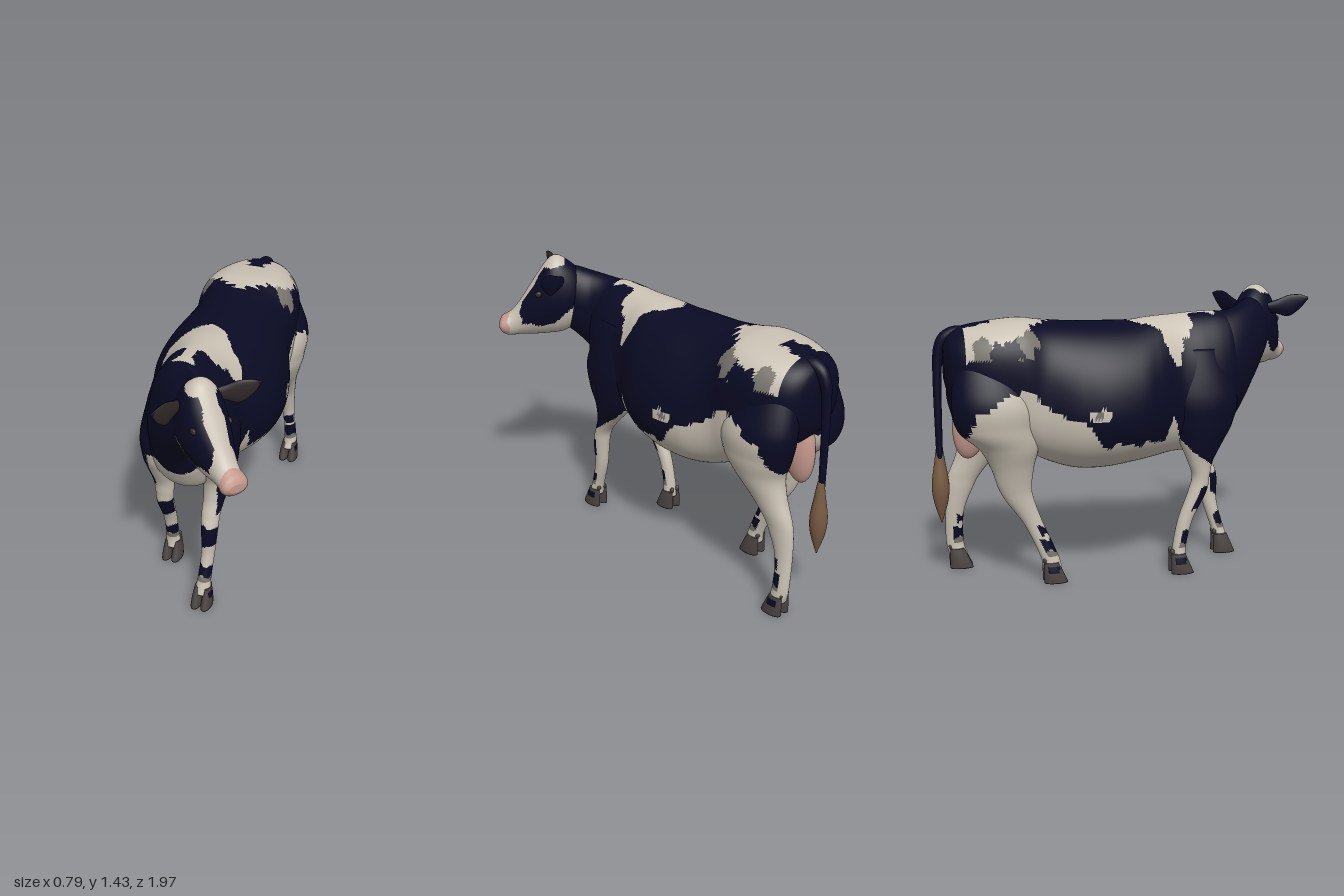
import * as THREE from 'three';

const CX = -0.065; // body's middle plane
const mat = (name, color) => new THREE.MeshStandardMaterial({ name, color });
const PALETTE = [
  mat('navyCoat', 0x0a0a24), mat('creamCoat', 0xc9c1b3), mat('greyCoat', 0x77726b),
  mat('pinkSkin', 0xc4988d), mat('hoof', 0x494341), mat('tailTuft', 0x785a43), mat('earInner', 0x2e2826),
];
const [NAVY, CREAM, GREY, PINK, HOOF, TUFT, EAR] = PALETTE.keys();

// Catmull-Rom interpolation of all columns of a few sections
function smooth(rows, steps) {
  const out = [], m = rows.length - 1;
  for (let i = 0; i <= steps; i++) {
    const f = (i / steps) * m, k = Math.min(Math.floor(f), m - 1), t = f - k;
    const [a, b, c, d] = [-1, 0, 1, 2].map((o) => rows[Math.max(0, Math.min(m, k + o))]);
    out.push(b.map((p, j) => 0.5 * (2 * p + (c[j] - a[j]) * t + (2 * a[j] - 5 * p + 4 * c[j] - d[j]) * t * t
      + (3 * p - a[j] - 3 * c[j] + d[j]) * t * t * t)));
  }
  return out;
}

// Closed skin through sections, each triangle coloured by a rule on its centre
function loft(name, rows, steps, seg, place, colour) {
  const rings = smooth(rows, steps), pos = [], tris = [];
  for (const r of rings)
    for (let j = 0; j < seg; j++) {
      const a = (j / seg) * Math.PI * 2;
      pos.push(place(r, Math.cos(a), Math.sin(a)));
    }
  for (const r of [rings[0], rings[steps]]) {
    const p = place(r, 1, 0), q = place(r, -1, 0);
    pos.push(p.map((v, k) => (v + q[k]) / 2));
  }
  const end = (steps + 1) * seg;
  for (let j = 0; j < seg; j++) {
    const k = (j + 1) % seg;
    for (let i = 0; i < steps; i++) {
      const a = i * seg + j, b = i * seg + k;
      tris.push([a, b, a + seg], [b, b + seg, a + seg]);
    }
    tris.push([end, k, j], [end + 1, steps * seg + j, steps * seg + k]);
  }
  // turn the skin outward if its volume is negative
  let volume = 0;
  for (const [a, b, c] of tris) {
    const [p, q, r] = [a, b, c].map((i) => new THREE.Vector3(...pos[i]));
    volume += p.dot(q.cross(r));
  }
  const bins = PALETTE.map(() => []);
  for (const [a, b, c] of tris) {
    const mid = pos[a].map((v, k) => (v + pos[b][k] + pos[c][k]) / 3);
    bins[typeof colour === 'number' ? colour : colour(...mid)].push(a, ...(volume < 0 ? [c, b] : [b, c]));
  }
  const geo = new THREE.BufferGeometry();
  geo.setAttribute('position', new THREE.Float32BufferAttribute(pos.flat(), 3));
  geo.setIndex(bins.flat());
  let start = 0;
  bins.forEach((bin, i) => {
    if (bin.length) geo.addGroup(start, bin.length, i);
    start += bin.length;
  });
  geo.computeVertexNormals();
  const mesh = new THREE.Mesh(geo, PALETTE);
  mesh.name = name;
  return mesh;
}

function ball(name, colour, at, size, tilt = 0) {
  const mesh = new THREE.Mesh(new THREE.SphereGeometry(1, 28, 18), PALETTE[colour]);
  mesh.name = name;
  mesh.position.set(...at);
  mesh.scale.set(...size);
  mesh.rotation.x = tilt;
  return mesh;
}

const { clamp, lerp, smoothstep } = THREE.MathUtils;
const power = (v, n) => Math.sign(v) * Math.abs(v) ** (2 / n);
function linear(points, t) {
  let i = 1;
  while (i < points.length - 1 && points[i][0] < t) i++;
  const [a, b] = [points[i - 1], points[i]];
  return lerp(a[1], b[1], clamp((t - a[0]) / (b[0] - a[0]), 0, 1));
}

// Height of the edge between dark flank and pale underside, along z
const EDGE = [[-0.95, 0.62], [-0.88, 0.7], [-0.78, 0.9], [-0.58, 1], [-0.43, 0.9], [-0.25, 0.8], [-0.2, 0.72],
  [0.12, 0.71], [0.17, 0.82], [0.22, 0.7], [0.46, 0.5]];

// Coat pattern, the same on both flanks
function coat(x, y, z) {
  const d = Math.abs(x - CX), w = 0.012 * Math.sin(41 * z + 17 * y) + 0.008 * Math.sin(83 * z + 61 * y);
  // withers saddle
  if (z > 0 && z < 0.43 && d < 0.035 + w && y > 1.2) return CREAM;
  if (y > 1.25 ? z > -0.04 + d * 1.1 + w && z < 0.28 + w : y > 1.08 && Math.abs(z - 0.2) < (y - 1.08) * 0.45 + w) return CREAM;
  // rump
  if (y > 1.1 && z < -0.28 && z > -0.83) {
    const grey = Math.min(Math.hypot(d - 0.23, z + 0.76), Math.hypot(d - 0.22, z + 0.54)) < 0.045 + w;
    const limit = z < -0.52 ? 0.235 : z < -0.45 ? 0.12 : 0.045;
    const notch = z < -0.7 && d < 0.05 + w;
    if (y > 1.28 + (z + 0.48) * 0.42 + w && d < limit + w && !notch) return grey ? GREY : CREAM;
    if (grey && y > 1.14) return GREY;
  }
  // flank spot
  const spot = Math.hypot((z + 0.22) / 0.055, (y - 0.87) / 0.032);
  if (spot < 1 + 8 * w) return spot < 0.5 ? GREY : CREAM;
  // chest, inner legs and underside
  if (z > 0.38 && d < 0.17 && y < 0.75 + 0.09 * Math.min(1, d / 0.11) + w) return CREAM;
  if (y < 0.85 && d < 0.1 && z < -0.4) return CREAM;
  if (y < 0.76 && d < 0.135 + w && z > 0.1) return CREAM;
  return y < linear(EDGE, z) + w ? CREAM : NAVY;
}

// Leg sections: height, distance from middle, front z, back z, half width
const FRONT = [[1.15, 0.11, 0.44, 0.22, 0.07], [0.92, 0.14, 0.52, 0.16, 0.095], [0.78, 0.145, 0.5, 0.19, 0.09],
  [0.68, 0.145, 0.46, 0.235, 0.075], [0.58, 0.14, 0.46, 0.33, 0.055], [0.5, 0.135, 0.485, 0.395, 0.047],
  [0.42, 0.135, 0.51, 0.415, 0.042], [0.28, 0.13, 0.512, 0.435, 0.034], [0.14, 0.123, 0.55, 0.48, 0.034], [0.07, 0.12, 0.575, 0.495, 0.044]];
const HIND = [[1.2, 0.1, -0.6, -0.86, 0.085], [0.95, 0.165, -0.5, -0.905, 0.13], [0.8, 0.165, -0.5, -0.88, 0.125],
  [0.7, 0.165, -0.565, -0.85, 0.1], [0.6, 0.165, -0.66, -0.87, 0.07], [0.5, 0.165, -0.745, -0.91, 0.05],
  [0.43, 0.165, -0.785, -0.925, 0.042], [0.3, 0.17, -0.835, -0.93, 0.033], [0.14, 0.185, -0.84, -0.93, 0.034], [0.07, 0.185, -0.82, -0.915, 0.044]];

// A leg swung along z by its stride and out by its spread, from the pivot height down
function makeLeg(name, sections, side, pivot = 1, stride = 0, spread = 0) {
  const leg = new THREE.Group(), front = sections === FRONT;
  leg.name = name;
  const rows = sections.map(([y, dx, zf, zb, hw]) => {
    const k = clamp((pivot - y) / 0.6, 0, 1);
    return [y, dx + k * spread, zf + k * stride, zb + k * stride, hw];
  });
  const mids = rows.map((r) => [r[0], (r[2] + r[3]) / 2]).reverse();
  const colour = (x, y, z) => {
    const w = 0.008 * Math.sin(90 * x + 70 * z), ahead = z - linear(mids, y);
    if (y > 0.48 + w) return coat(x, y, z);
    if (front && Math.abs(y - 0.39) < 0.06 + w && ahead > 0) return NAVY;
    if (!front && Math.abs(y - 0.27) < 0.022 + w && ahead > 0.01) return NAVY;
    if (Math.abs(y - 0.195) < 0.03 + w && ahead > -0.01) return NAVY;
    return y > 0.135 && y < 0.17 && ahead > -0.01 ? GREY : CREAM;
  };
  leg.add(loft('limb', rows, 120, 36, ([y, dx, zf, zb, hw], c, s) =>
    [CX + side * dx + hw * c, y, (zf + zb) / 2 + ((zf - zb) / 2) * s], colour));
  // cloven hoof, widening to the ground, and dewclaws
  const x = CX + side * rows[rows.length - 1][1], z0 = mids[0][1];
  for (const k of [-1, 1]) {
    const claw = ([t], c, s) => [x + k * 0.026 + (0.014 + 0.014 * Math.sin(t * 1.57)) * c, 0.105 * (1 - t),
      z0 - 0.01 + 0.024 * t + (0.037 + 0.023 * t) * s];
    leg.add(loft('hoof', [[0], [1]], 16, 20, claw,
      (px, y, z) => (y > 0.05 && y < 0.088 && k === side && Math.abs(z - z0) < 0.03 ? NAVY : HOOF)));
    leg.add(ball('dewclaw', HOOF, [x + k * 0.02, 0.115, z0 - 0.04], [0.011, 0.016, 0.012]));
  }
  return leg;
}

function makeHead() {
  const head = new THREE.Group();
  head.name = 'head';
  head.position.set(0.12, 0, 0.72);
  head.rotation.y = 0.85;
  // skull sections: z, top, bottom, half width
  const skull = [[-0.13, 1.3, 1.12, 0.05], [-0.1, 1.36, 1.07, 0.085], [-0.05, 1.405, 1.03, 0.105], [0, 1.432, 1.01, 0.11],
    [0.05, 1.41, 1.005, 0.11], [0.12, 1.315, 1, 0.095], [0.2, 1.195, 1, 0.066], [0.25, 1.135, 0.995, 0.06],
    [0.28, 1.115, 0.997, 0.065], [0.305, 1.1, 1.012, 0.06], [0.32, 1.075, 1.035, 0.04]];
  head.add(loft('skull', skull, 100, 64, ([z, t, b, hw], c, s) => [hw * c, (t + b) / 2 + ((t - b) / 2) * s, z], (x, y, z) => {
    const w = 0.006 * Math.sin(70 * y + 50 * z);
    if (z > 0.268 + w && y > 1.02) return PINK;
    if (z > 0.2 + w || (z > -0.04 && (Math.abs(x) < 0.045 + w || y > 1.385 + w))) return CREAM;
    return z > -0.1 && y < 1.075 + Math.max(0, 0.03 - z) * 0.9 + w ? CREAM : NAVY;
  }));
  // leaf-shaped ears: reach, z, height, half height, half thickness
  const ear = [[0.07, -0.03, 1.315, 0.02, 0.016], [0.13, 0, 1.32, 0.038, 0.018], [0.18, 0.03, 1.325, 0.055, 0.016],
    [0.23, 0.055, 1.345, 0.038, 0.011], [0.27, 0.07, 1.365, 0.006, 0.003]];
  for (const k of [-1, 1]) {
    head.add(loft('ear', ear, 36, 28, ([l, z, y, h, t], c, s) => [k * l, y + h * s, z + t * c],
      (x, y, z) => (z > (Math.abs(x) - 0.13) * 0.52 + 0.006 && Math.abs(x) > 0.1 ? EAR : NAVY)));
    head.add(ball('eye', EAR, [k * 0.088, 1.245, 0.098], [0.012, 0.016, 0.02]));
    head.add(ball('nostril', EAR, [k * 0.032, 1.073, 0.304], [0.01, 0.009, 0.009]));
  }
  return head;
}

export function createModel() {
  const cow = new THREE.Group();
  cow.name = 'cow';
  // torso sections: z, top, bottom, half width; square at the hips, tapering upward in front
  const torso = [[-0.925, 1.18, 1.02, 0.06], [-0.9, 1.24, 0.93, 0.14], [-0.84, 1.275, 0.85, 0.2], [-0.72, 1.295, 0.78, 0.25],
    [-0.56, 1.31, 0.68, 0.268], [-0.45, 1.3, 0.61, 0.268], [-0.3, 1.29, 0.56, 0.315], [-0.15, 1.287, 0.555, 0.335],
    [0, 1.287, 0.575, 0.32], [0.1, 1.3, 0.59, 0.28], [0.22, 1.31, 0.61, 0.22], [0.35, 1.32, 0.615, 0.21],
    [0.45, 1.32, 0.64, 0.19], [0.52, 1.3, 0.74, 0.15], [0.56, 1.25, 0.84, 0.08]];
  cow.add(loft('torso', torso, 160, 96, ([z, t, b, hw], c, s) => {
    const n = 2.1 + 0.75 * Math.exp(-(((z + 0.63) / 0.2) ** 2)), taper = lerp(-0.05, 0.12, smoothstep(z, -0.6, -0.3));
    const v = power(s, n);
    return [CX + hw * power(c, n) * (1 - taper * v), (t + b) / 2 + ((t - b) / 2) * v, z];
  }, coat));
  // neck sections: x, centre height, z, half width, half height, yaw
  const neck = [[CX, 1, 0.36, 0.17, 0.32, 0], [-0.06, 1.02, 0.49, 0.155, 0.3, 0.25], [-0.02, 1.115, 0.59, 0.12, 0.225, 0.65],
    [0.05, 1.185, 0.67, 0.1, 0.185, 0.8], [0.12, 1.215, 0.73, 0.085, 0.15, 0.85]];
  cow.add(loft('neck', neck, 60, 64, ([x, y, z, a, b, yaw], c, s) =>
    [x + a * c * Math.cos(yaw), y + b * s, z - a * c * Math.sin(yaw)], coat));
  cow.add(makeHead());
  cow.add(makeLeg('leftFrontLeg', FRONT, 1), makeLeg('rightFrontLeg', FRONT, -1, 0.7, -0.31, 0.033));
  cow.add(makeLeg('leftHindLeg', HIND, 1), makeLeg('rightHindLeg', HIND, -1, 0.8, 0.44, -0.045));

  // udder with teats
  cow.add(ball('udder', PINK, [CX, 0.68, -0.62], [0.11, 0.095, 0.16], 0.25));
  cow.add(ball('rearUdder', PINK, [CX, 0.82, -0.8], [0.06, 0.2, 0.09], 0.12));
  for (const k of [-1, 1])
    for (const z of [-0.55, -0.65]) cow.add(ball('teat', PINK, [CX + k * 0.05, 0.585, z], [0.015, 0.045, 0.015]));

  // tail sections: height, z, radius, ring tilt
  const tail = [[1.23, -0.8, 0.05, 1.57], [1.235, -0.88, 0.04, 1.25], [1.19, -0.935, 0.03, 0.6], [1.05, -0.955, 0.022, 0.1], [0.62, -0.957, 0.016, 0]];
  cow.add(loft('tail', tail, 60, 24, ([y, z, r, a], c, s) =>
    [-0.055 + r * c, y + r * s * Math.sin(a), z - r * s * Math.cos(a)], NAVY));
  // tuft sections: height, radius
  const tuft = [[0.68, 0.016], [0.6, 0.028], [0.49, 0.043], [0.4, 0.034], [0.295, 0.002]];
  cow.add(loft('tailTuft', tuft, 40, 24, ([y, r], c, s) => [-0.047 + r * c, y, -0.957 + r * s], TUFT));
  return cow;
}
